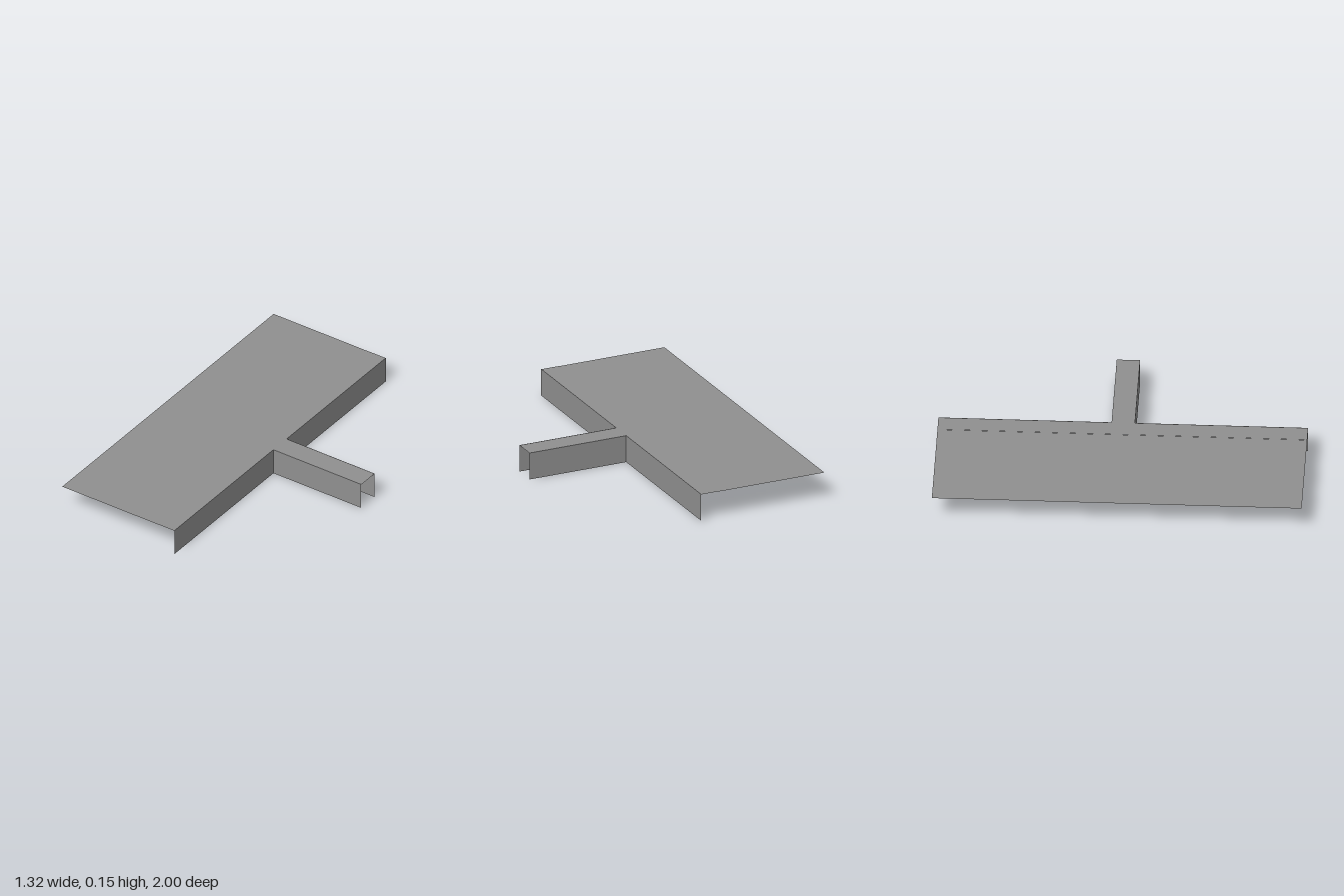
import * as THREE from 'three';

export function createModel() {
  const model = new THREE.Group();
  model.name = 'junctionDeck';
  const concrete = new THREE.MeshStandardMaterial({ color: 0x909090, side: THREE.DoubleSide });
  concrete.name = 'grey concrete';

  const TOP = 0.154, LEFT = -0.66, STRIP = -0.03, EDGE = 0.078, END = 0.656, ARM = 0.063;

  // Thin horizontal sheet between two x and two z limits
  function sheet(name, x0, x1, z0, z1, y) {
    const geometry = new THREE.PlaneGeometry(x1 - x0, z1 - z0).rotateX(-Math.PI / 2);
    const mesh = new THREE.Mesh(geometry, concrete);
    mesh.position.set((x0 + x1) / 2, y, (z0 + z1) / 2);
    mesh.name = name;
    model.add(mesh);
  }

  // Thin upright sheet from the ground to the deck, turned to face outwards
  function wall(name, length, x, z, turn) {
    const mesh = new THREE.Mesh(new THREE.PlaneGeometry(length, TOP), concrete);
    mesh.position.set(x, TOP / 2, z);
    mesh.rotation.y = turn;
    mesh.name = name;
    model.add(mesh);
  }

  // Edge strip along the deck, and the top of the side arm
  sheet('edgeStrip', STRIP, EDGE, -1, 1, TOP - 0.001);
  sheet('armTop', EDGE, END, -ARM, ARM, TOP - 0.001);

  // Two deck panels, the long walls and the arm walls, mirrored across z
  for (const side of [1, -1]) {
    const label = side > 0 ? 'front' : 'back';
    sheet(label + 'DeckPanel', LEFT, STRIP, Math.min(0, side), Math.max(0, side), TOP - 0.002);
    wall(label + 'LongWall', 1 - ARM, EDGE, side * (1 + ARM) / 2, Math.PI / 2);
    wall(label + 'ArmWall', END - EDGE, (EDGE + END) / 2, side * ARM, side > 0 ? 0 : Math.PI);
  }
  return model;
}
